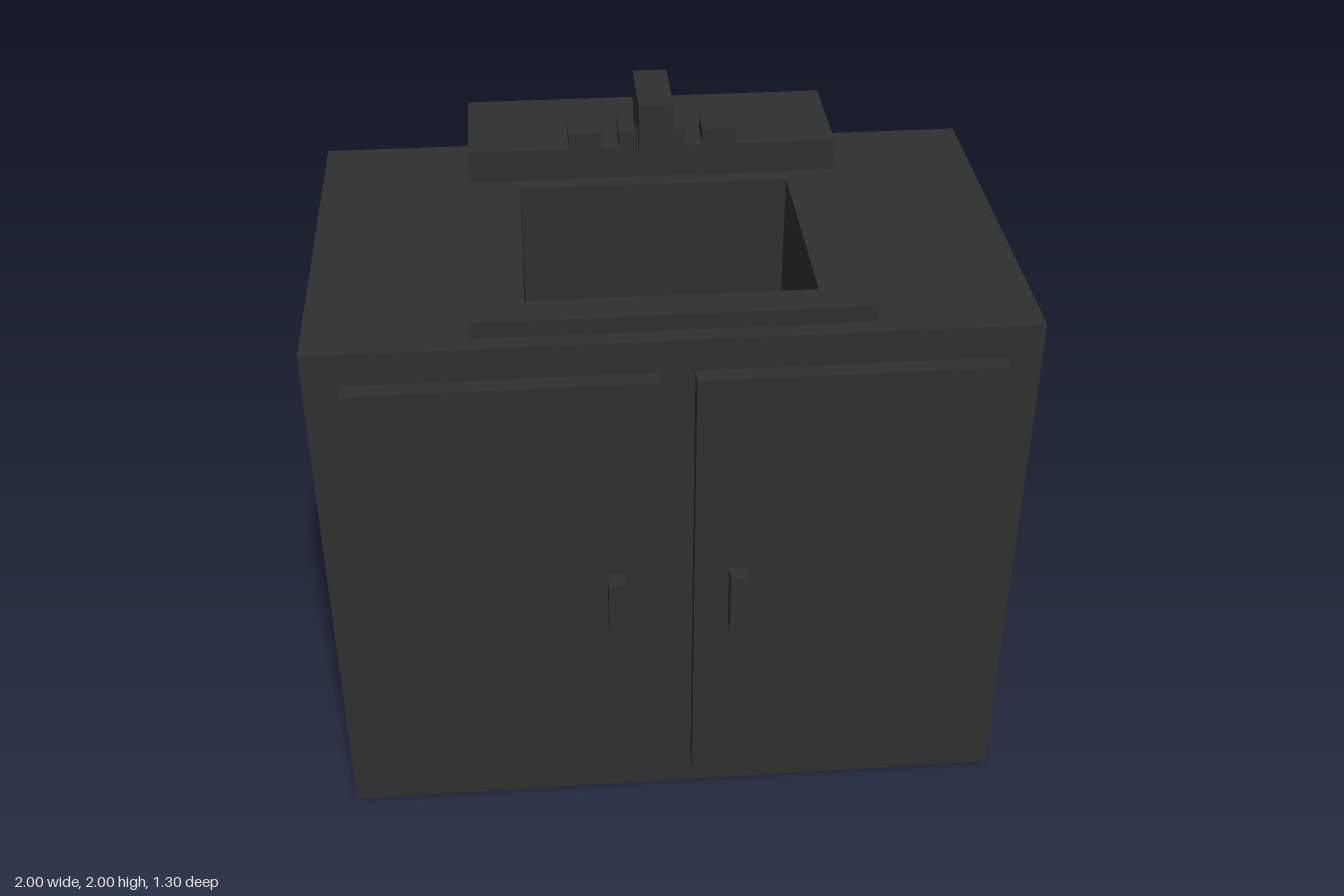
import * as THREE from 'three';

export function createModel() {
  const model = new THREE.Group();
  const charcoal = new THREE.MeshStandardMaterial({ color: 0x303030 });
  charcoal.name = 'charcoal';

  const add = (name, geometry, parent = model) => {
    const mesh = new THREE.Mesh(geometry, charcoal);
    mesh.name = name;
    parent.add(mesh);
    return mesh;
  };

  // Box given by its limits along each axis
  const block = (name, [x0, x1], [y0, y1], [z0, z1], parent) => add(name,
    new THREE.BoxGeometry(x1 - x0, y1 - y0, z1 - z0)
      .translate((x0 + x1) / 2, (y0 + y1) / 2, (z0 + z1) / 2), parent);

  const rect = (Type, x0, x1, z0, z1) => new Type([
    [x0, -z1], [x1, -z1], [x1, -z0], [x0, -z0],
  ].map(([x, y]) => new THREE.Vector2(x, y)));

  // Horizontal slab with the basin opening cut through it
  const basinSlab = (name, halfWidth, [y0, y1], [z0, z1]) => {
    const shape = rect(THREE.Shape, -halfWidth, halfWidth, z0, z1);
    shape.holes.push(rect(THREE.Path, -0.4, 0.4, -0.25, 0.4));
    add(name, new THREE.ExtrudeGeometry(shape, { depth: y1 - y0, bevelEnabled: false })
      .rotateX(-Math.PI / 2).translate(0, y0, 0));
  };

  // Cabinet: solid below the basin floor, open around the basin
  const floor = 1.3;
  block('cabinetBody', [-1, 1], [0, floor], [-0.65, 0.55]);
  basinSlab('cabinetTop', 1, [floor, 1.65], [-0.65, 0.55]);

  // Sink rim and raised back ledge
  basinSlab('sinkRim', 0.55, [1.65, 1.7], [-0.3, 0.5]);
  block('backLedge', [-0.55, 0.55], [1.65, 1.8], [-0.65, -0.3]);

  // Doors, door pulls and tap knobs, mirrored
  for (const [side, s] of [['left', 1], ['right', -1]]) {
    const span = (a, b) => (s > 0 ? [a, b] : [-b, -a]);
    block(side + 'Door', span(0.05, 0.9), [0.1, 1.55], [0.55, 0.6]);
    block(side + 'DoorPull', span(0.15, 0.2), [0.7, 0.9], [0.6, 0.65]);
    block(side + 'TapKnob', span(0.15, 0.25), [1.8, 1.85], [-0.4, -0.3]);
  }

  // Faucet: base plate and a hooked spout
  const faucet = new THREE.Group();
  faucet.name = 'faucet';
  model.add(faucet);
  block('faucetBase', [-0.1, 0.1], [1.8, 1.85], [-0.4, -0.3], faucet);
  const hook = new THREE.Shape([
    [0.4, 1.85], [0.4, 2], [0.15, 2], [0.15, 1.85], [0.2, 1.85], [0.2, 1.9], [0.3, 1.9], [0.3, 1.85],
  ].map(([x, y]) => new THREE.Vector2(x, y)));
  add('spout', new THREE.ExtrudeGeometry(hook, { depth: 0.1, bevelEnabled: false })
    .translate(0, 0, -0.05).rotateY(Math.PI / 2), faucet);

  return model;
}
